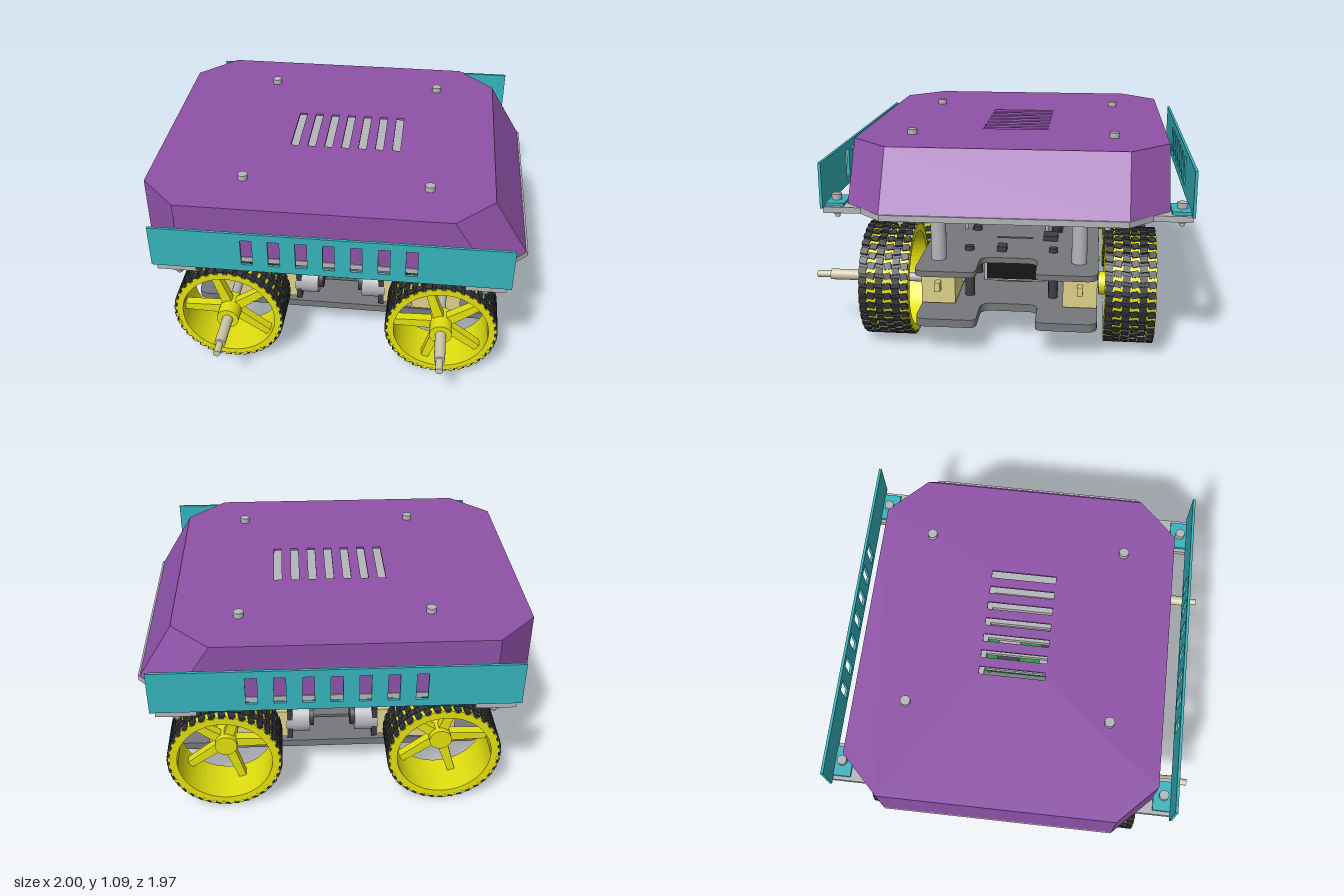
import * as THREE from 'three';
import { mergeGeometries } from 'three/addons/utils/BufferGeometryUtils.js';

const mats = {};
const mat = (c) => (mats[c] ??= new THREE.MeshStandardMaterial({ color: c, side: THREE.DoubleSide }));
const PURPLE = 0x8f52a8, TEAL = 0x36b4bc, YELLOW = 0xe3e00e, TYRE = 0x33363a, PLATE = 0x77787b,
  STEEL = 0xb4b6ba, CREAM = 0xdfd28a, GREEN = 0x179a2c, DARK = 0x3c3e42, BLACK = 0x111111;

export function createModel() {
  const model = new THREE.Group();
  const body = new THREE.Group(); // mirrored about its own z = 0
  body.name = 'vehicle';
  body.position.z = -0.065;
  model.add(body);

  const add = (name, geo, color, x = 0, y = 0, z = 0, parent = body) => {
    const m = new THREE.Mesh(geo, mat(color));
    m.name = name;
    m.position.set(x, y, z);
    parent.add(m);
    return m;
  };
  const box = (name, color, w, h, d, x, y, z, parent) => add(name, new THREE.BoxGeometry(w, h, d), color, x, y, z, parent);
  const rod = (name, color, r, y0, y1, x, z, sides = 20) =>
    add(name, new THREE.CylinderGeometry(r, r, y1 - y0, sides), color, x, (y0 + y1) / 2, z);
  const rodAlong = (axis, r, len, sides = 24) => {
    const g = new THREE.CylinderGeometry(r, r, len, sides);
    return axis === 'x' ? g.rotateZ(Math.PI / 2) : g.rotateX(Math.PI / 2);
  };
  const polygon = (pts) => new THREE.Shape(pts.map(([x, y]) => new THREE.Vector2(x, y)));
  const rect = (x, y, w, h) => new THREE.Path([[-1, -1], [1, -1], [1, 1], [-1, 1]]
    .map(([i, j]) => new THREE.Vector2(x + i * w / 2, y + j * h / 2)));
  // Flat plate in the xz plane with its top face at height y
  const plate = (name, shape, y, h, color) => add(name,
    new THREE.ExtrudeGeometry(shape, { depth: h, bevelEnabled: false, curveSegments: 10 }).rotateX(Math.PI / 2), color, 0, y, 0);
  const corners = (x, z, fn) => { for (const i of [-1, 1]) for (const k of [-1, 1]) fn(i * x, k * z, i, k); };
  const slots = [-3, -2, -1, 0, 1, 2, 3];
  const cutSlots = (s) => { slots.forEach((i) => s.holes.push(rect(i * 0.093, 0, 0.042, 0.35))); return s; };

  // Cover: chamfered shell with a sloped nose
  const ring = (a, b) => [[-1, -0.605], [-0.8, -0.805], [a, -0.805], [b, -0.605],
    [b, 0.605], [a, 0.805], [-0.8, 0.805], [-1, 0.605]];
  const low = ring(0.8, 0.99), high = ring(0.61, 0.81), verts = [];
  low.forEach((p, i) => {
    const j = (i + 1) % 8;
    const B = (k) => [low[k][0], 0.77, low[k][1]], T = (k) => [high[k][0], 1.065, high[k][1]];
    verts.push(...B(i), ...T(i), ...T(j), ...B(i), ...T(j), ...B(j));
  });
  const walls = new THREE.BufferGeometry();
  walls.setAttribute('position', new THREE.Float32BufferAttribute(verts, 3));
  walls.computeVertexNormals();
  add('coverWalls', walls, PURPLE);
  plate('coverTop', cutSlots(polygon(high)), 1.067, 0.012, PURPLE);

  // Deck with four bracket tabs
  const half = [[1, 0.6], [0.88, 0.72], [0.88, 0.91], [0.68, 0.91], [0.68, 0.81]];
  const side = [...half, ...half.map(([x, z]) => [-x, z]).reverse()];
  plate('deck', cutSlots(polygon([...side, ...side.map(([x, z]) => [x, -z]).reverse()])), 0.77, 0.03, STEEL);

  // Side panels with windows and bolted feet
  for (const s of [-1, 1]) {
    const panel = polygon([[-0.905, 0.77], [0.905, 0.77], [0.905, 1], [-0.905, 1]]);
    slots.forEach((i) => panel.holes.push(rect(i * 0.137, 0.885, 0.058, 0.15)));
    add('sidePanel', new THREE.ExtrudeGeometry(panel, { depth: 0.014, bevelEnabled: false }), TEAL, 0, 0, s * 0.91 - 0.007);
    for (const x of [-0.78, 0.78]) {
      box('panelFoot', TEAL, 0.16, 0.016, 0.1, x, 0.778, s * 0.86);
      rod('panelBolt', STEEL, 0.026, 0.786, 0.815, x, s * 0.865);
      rod('panelBoltTip', STEEL, 0.014, 0.695, 0.74, x, s * 0.865, 12);
      rod('panelNut', STEEL, 0.028, 0.713, 0.74, x, s * 0.865, 6);
    }
  }

  // Cover screws and small deck screws
  corners(0.485, 0.53, (x, z) => {
    rod('coverScrew', STEEL, 0.026, 1.065, 1.095, x - 0.01, z);
    rod('coverNut', STEEL, 0.026, 0.713, 0.74, x - 0.01, z, 6);
  });
  corners(0.97, 0.5, (x, z) => rod('deckScrew', STEEL, 0.015, 0.722, 0.742, x, z, 12));
  corners(0, 0.78, (x, z, i) => i > 0 && rod('deckScrew', STEEL, 0.015, 0.722, 0.742, x, z, 12));

  // Chassis plates with rounded corners and a notched nose
  const chassis = (x0, x1) => {
    const s = new THREE.Shape(), w = 0.463, r = 0.06, n = 0.15;
    s.moveTo(x0 + r, -w);
    s.lineTo(x1 - r, -w);
    s.quadraticCurveTo(x1, -w, x1, -w + r);
    s.lineTo(x1, -n - 0.04);
    s.quadraticCurveTo(x1, -n, x1 - 0.04, -n);
    s.lineTo(x1 - 0.18, -n);
    s.quadraticCurveTo(x1 - 0.24, -n, x1 - 0.24, -n + r);
    s.lineTo(x1 - 0.24, n - r);
    s.quadraticCurveTo(x1 - 0.24, n, x1 - 0.18, n);
    s.lineTo(x1 - 0.04, n);
    s.quadraticCurveTo(x1, n, x1, n + 0.04);
    s.lineTo(x1, w - r);
    s.quadraticCurveTo(x1, w, x1 - r, w);
    s.lineTo(x0 + r, w);
    s.quadraticCurveTo(x0, w, x0, w - r);
    s.lineTo(x0, -w + r);
    s.quadraticCurveTo(x0, -w, x0 + r, -w);
    for (const z of [-0.25, 0.25]) s.holes.push(rect(0, z, 0.36, 0.018));
    for (const x of [-0.3, 0.3]) s.holes.push(rect(x, 0, 0.018, 0.2));
    return s;
  };
  plate('lowerChassisPlate', chassis(-0.83, 0.89), 0.195, 0.042, PLATE);
  plate('upperChassisPlate', chassis(-0.75, 0.89), 0.452, 0.03, PLATE);
  corners(0.685, 0.365, (x, z) => rod('deckStandoff', STEEL, 0.04, 0.45, 0.742, x, z, 28));
  for (const x of [-0.53, -0.17, 0.17, 0.53]) for (const z of [-0.225, 0.225]) {
    rod('chassisSpacer', DARK, 0.026, 0.19, 0.425, x, z, 12);
    rod('spacerScrew', DARK, 0.025, 0.13, 0.155, x, z, 12);
    rod('spacerScrew', DARK, 0.025, 0.45, 0.475, x, z, 12);
  }

  // Battery box between the plates
  box('batteryBox', STEEL, 0.6, 0.205, 0.35, 0, 0.298, 0);
  for (const x of [-0.301, 0.301]) box('batteryEnd', BLACK, 0.01, 0.185, 0.32, x, 0.298, 0);

  // Geared motors, one per wheel
  corners(1, 0.372, (_, z, i, k) => {
    const g = new THREE.Group();
    g.name = 'gearMotor';
    g.position.set(0, 0.304, z);
    body.add(g);
    box('gearbox', CREAM, 0.34, 0.205, 0.178, i * 0.515, 0, 0, g);
    box('gearboxNeck', CREAM, 0.11, 0.17, 0.16, i * 0.3, 0, 0, g);
    box('gearboxTab', CREAM, 0.05, 0.05, 0.03, i * 0.705, 0, 0, g);
    add('motorCan', rodAlong('x', 0.09, 0.13), STEEL, i * 0.19, 0, 0, g);
    add('motorEnd', rodAlong('x', 0.06, 0.03), DARK, i * 0.115, 0, 0, g);
    box('motorStrap', DARK, 0.03, 0.19, 0.17, i * 0.235, 0, 0, g);
    for (const y of [-0.075, 0.075]) add('gearboxBolt', rodAlong('z', 0.014, 0.2, 12), STEEL, i * 0.4, y, 0, g);
    add('axle', rodAlong('z', 0.025, 0.2), STEEL, i * 0.58, 0, k * 0.13, g);
  });

  // Wheel geometry: ribbed tyre, rim sleeve, five spokes and hub
  const W = 0.255, R = 0.304;
  const lathe = (pts, n = 60) => new THREE.LatheGeometry(pts.map(([r, z]) => new THREE.Vector2(r, z)), n).rotateX(Math.PI / 2);
  const blocks = [];
  for (let row = 0; row < 6; row++) for (let i = 0; i < 36; i++) {
    const b = new THREE.BoxGeometry(0.018, row % 5 ? 0.034 : 0.036, W / 6 - 0.006);
    b.rotateX((row < 3 ? 1 : -1) * 0.18).translate(R - 0.01, 0, (row - 2.5) * W / 6);
    blocks.push(b.rotateZ((i + (row % 2) / 2) * Math.PI / 18));
  }
  const tread = mergeGeometries(blocks);
  const h = W / 2;
  const tyre = lathe([[0.272, -h + 0.002], [0.292, -h + 0.002], [0.292, h - 0.002], [0.272, h - 0.002]]);
  const rim = lathe([[0.25, -h], [0.288, -h - 0.001], [0.288, -h + 0.012], [0.27, -h + 0.012], [0.27, h - 0.012],
    [0.288, h - 0.012], [0.288, h + 0.001], [0.255, h], [0.25, -h]]).toNonIndexed();
  rim.computeVertexNormals();
  const notches = [];
  for (let i = 0; i < 36; i++) notches.push(new THREE.BoxGeometry(0.016, 0.026, W + 0.003)
    .translate(0.289, 0, 0).rotateZ((i + 0.5) * Math.PI / 18));
  const rimTeeth = mergeGeometries(notches);
  const spokes = mergeGeometries([0, 1, 2, 3, 4].map((i) => new THREE.ExtrudeGeometry(
    polygon([[0.03, -0.028], [0.26, -0.02], [0.26, 0.02], [0.03, 0.028]]), { depth: 0.05, bevelEnabled: false })
    .translate(0, 0, h - 0.1).rotateZ(Math.PI + i * Math.PI * 0.4)));
  corners(0.58, 0.625, (x, z, i, k) => {
    const w = new THREE.Group();
    w.name = 'wheel';
    w.position.set(x, 0.304, z);
    body.add(w);
    add('tyre', tyre, TYRE, 0, 0, 0, w);
    add('tread', tread, TYRE, 0, 0, 0, w);
    add('rim', rim, YELLOW, 0, 0, 0, w);
    add('rimTeeth', rimTeeth, YELLOW, 0, 0, 0, w);
    add('spokes', spokes, YELLOW, 0, 0, 0, w);
    add('hub', rodAlong('z', 0.06, 0.16, 32), YELLOW, 0, 0, h - 0.05, w);
    if (k > 0) { // long stepped shafts on one side only
      add('shaft', rodAlong('z', 0.029, 0.2), 0xcfc8a8, 0, 0, 0.25, w);
      add('shaftTip', rodAlong('z', 0.019, 0.085), 0xcfc8a8, 0, 0, 0.383, w);
    }
  });

  // Circuit boards with components on small posts
  const board = (x, z, w, d, y) => {
    box('circuitBoard', GREEN, w, 0.014, d, x, y, z);
    corners(w / 2 - 0.02, d / 2 - 0.02, (px, pz) => rod('boardPost', STEEL, 0.011, 0.45, y + 0.012, x + px, z + pz, 8));
    corners(w / 4, d / 4, (px, pz, i, k) =>
      box('chip', i * k > 0 ? DARK : STEEL, w * 0.32, 0.024, d * 0.26, x + px, y + 0.016, z + pz));
    box('pinHeader', BLACK, 0.02, 0.03, d * 0.8, x - w / 2 + 0.02, y + 0.02, z);
  };
  board(0.045, 0.06, 0.27, 0.5, 0.508);
  board(-0.38, 0.2, 0.2, 0.26, 0.488);
  box('heatSink', DARK, 0.06, 0.05, 0.09, -0.35, 0.523, 0.2);
  rod('capacitor', STEEL, 0.028, 0.49, 0.55, -0.35, 0.28);
  box('switch', DARK, 0.07, 0.03, 0.05, 0.52, 0.465, 0.05);
  box('switch', DARK, 0.1, 0.03, 0.08, 0.3, 0.465, -0.2);

  return model;
}
